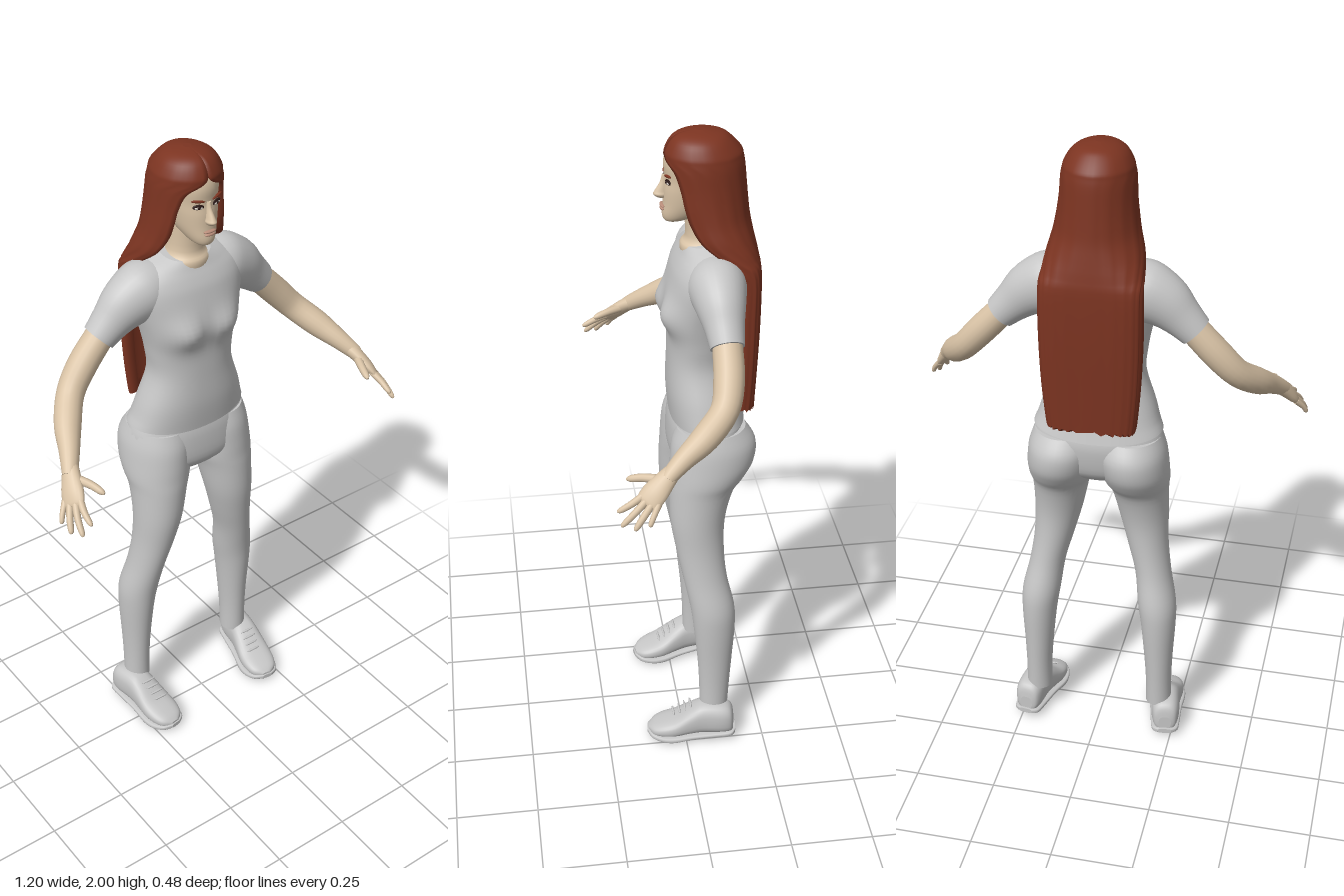
import * as THREE from 'three';

const mat = (name, color) => Object.assign(new THREE.MeshStandardMaterial({ color }), { name });
const V = (x, y, z) => new THREE.Vector3(x, y, z);
const pw = (v, e) => Math.sign(v) * Math.abs(v) ** e;

// Catmull-Rom refinement of a short table of section rows
function smooth(rows, k = 4) {
  const out = [], at = i => rows[Math.max(0, Math.min(rows.length - 1, i))];
  for (let i = 0; i < rows.length - 1; i++)
    for (let j = 0; j < k; j++) {
      const t = j / k, [p, a, b, q] = [at(i - 1), at(i), at(i + 1), at(i + 2)];
      out.push(a.map((_, c) => a[c] + 0.5 * t * (b[c] - p[c] + t * (2 * p[c] - 5 * a[c] + 4 * b[c] - q[c]
        + t * (3 * (a[c] - b[c]) + q[c] - p[c])))));
    }
  return [...out, rows[rows.length - 1]];
}

// Skin over closed rings of equal length, with crisp caps; faces always turn outward
function loft(name, material, rings, capEnd = true) {
  const n = rings[0].length, pts = rings.flat(), idx = [];
  for (let i = 0; i < rings.length - 1; i++)
    for (let j = 0; j < n; j++) {
      const a = i * n + j, b = i * n + (j + 1) % n;
      idx.push(a, b, a + n, b, b + n, a + n);
    }
  const cap = (ring, flip) => {
    const base = pts.length, c = V(0, 0, 0);
    ring.forEach(p => c.addScaledVector(p, 1 / n));
    pts.push(...ring, c);
    for (let j = 0; j < n; j++) {
      const a = base + j, b = base + (j + 1) % n;
      idx.push(...(flip ? [b, a, base + n] : [a, b, base + n]));
    }
  };
  cap(rings[0], true);
  if (capEnd) cap(rings[rings.length - 1], false);
  let vol = 0;
  for (let i = 0; i < idx.length; i += 3) vol += pts[idx[i]].dot(V(0, 0, 0).crossVectors(pts[idx[i + 1]], pts[idx[i + 2]]));
  if (vol < 0) idx.reverse();
  const g = new THREE.BufferGeometry().setFromPoints(pts);
  g.setIndex(idx);
  g.computeVertexNormals();
  const m = new THREE.Mesh(g, material);
  m.name = name;
  return m;
}

// Horizontal rounded section from [y, centreX, halfWidth, zFront, zBack]
function level([y, cx, a, zf, zb], e = 0.88, n = 36) {
  return Array.from({ length: n }, (_, i) => {
    const t = i / n * Math.PI * 2;
    return V(cx + a * pw(Math.sin(t), e), y, (zf + zb) / 2 + (zf - zb) / 2 * pw(Math.cos(t), e));
  });
}
const column = (name, m, rows, e) => loft(name, m, smooth(rows).map(r => level(r, e)));

// Limb along points [x, y, z, radiusAcross, radiusThick]
function limb(name, m, rows, ref = V(0, 0, 1), n = 18) {
  const r = smooth(rows), p = r.map(q => V(q[0], q[1], q[2]));
  return loft(name, m, r.map((q, i) => {
    const t = p[Math.min(i + 1, p.length - 1)].clone().sub(p[Math.max(i - 1, 0)]).normalize();
    const u = t.clone().cross(ref).normalize(), v = t.clone().cross(u);
    return Array.from({ length: n }, (_, j) => {
      const a = j / n * Math.PI * 2;
      return p[i].clone().addScaledVector(u, q[3] * Math.cos(a)).addScaledVector(v, (q[4] ?? q[3]) * Math.sin(a));
    });
  }));
}

function blob(name, m, pos, size, ry = 0, rz = 0) {
  const g = new THREE.SphereGeometry(1, 16, 10).scale(...size).rotateZ(rz).rotateY(ry).translate(...pos);
  const b = new THREE.Mesh(g, m);
  b.name = name;
  return b;
}

// Reflected copy across x = 0
function mirrored(mesh) {
  const g = mesh.geometry.clone().scale(-1, 1, 1);
  g.setIndex([...g.index.array].reverse());
  g.computeVertexNormals();
  const m = new THREE.Mesh(g, mesh.material);
  m.name = mesh.name.replace('left', 'right');
  return m;
}

export function createModel() {
  const model = new THREE.Group();
  model.name = 'woman';
  const cloth = mat('light grey cloth', 0xc6c6c6), skin = mat('skin', 0xd9c3a6), hair = mat('auburn hair', 0x7c3421);
  const dark = mat('dark iris', 0x2a1714), white = mat('eye white', 0xd8d0c8), lip = mat('lips', 0xb98d7a);
  const add = (...ms) => model.add(...ms);
  const pair = (...ms) => ms.forEach(m => model.add(m, mirrored(m)));

  // Shirt body: bust swelling and a neckline that dips at the front
  const torso = smooth([[1.11, 0, .195, .022, -.2], [1.2, 0, .17, .03, -.178], [1.3, 0, .137, .028, -.158],
    [1.38, 0, .142, .027, -.16], [1.45, 0, .155, .03, -.17], [1.52, 0, .172, .03, -.182], [1.58, 0, .185, .018, -.187],
    [1.63, 0, .172, .002, -.182], [1.66, 0, .13, -.012, -.168], [1.68, 0, .078, -.022, -.15]], 5).map(r => level(r, .88, 48));
  torso.flat().forEach(p => {
    const y = p.y;
    if (p.z > -.05) p.z += .03 * Math.exp(-(((Math.abs(p.x) - .07) / .06) ** 2) - ((y - 1.46) / .05) ** 2);
    p.y -= (p.z + .09) * .2 * THREE.MathUtils.smoothstep(y, 1.58, 1.67);
    p.y += .015 * (Math.abs(p.x) / .195) ** 2 * THREE.MathUtils.smoothstep(-y, -1.16, -1.11);
  });
  add(loft('shirt body', cloth, torso));
  pair(limb('left sleeve', cloth, [[.09, 1.595, -.095, .075, .075], [.135, 1.58, -.098, .09, .084], [.195, 1.55, -.1, .08, .072],
    [.245, 1.508, -.103, .061, .057], [.287, 1.468, -.105, .05, .049]], undefined, 28));

  // Trousers
  add(column('hips', cloth, [[1.125, 0, .188, .018, -.195], [1.08, 0, .2, .027, -.2], [1.0, 0, .195, .028, -.185],
    [.96, 0, .12, .005, -.15], [.935, 0, .04, -.03, -.11]]));
  pair(column('left leg', cloth, [[1.11, .1, .093, .012, -.195], [1.06, .105, .104, .028, -.225], [1, .112, .104, .034, -.221],
    [.95, .117, .1, .036, -.193], [.9, .124, .087, .038, -.158], [.8, .135, .075, .036, -.132], [.7, .15, .063, .02, -.128],
    [.6, .17, .056, 0, -.136], [.5, .187, .06, -.02, -.158], [.42, .194, .055, -.03, -.16], [.3, .197, .046, -.042, -.152],
    [.2, .199, .041, -.048, -.145], [.11, .2, .041, -.05, -.14]], 1));

  // Shoes: sections [z, halfWidth, top, bottom] run from heel to toe
  const shoe = (name, rows, e) => {
    const m = loft(name, cloth, smooth(rows).map(([z, w, top, bot]) => Array.from({ length: 28 }, (_, i) => {
      const t = i / 28 * Math.PI * 2;
      return V(w * pw(Math.cos(t), e), (top + bot) / 2 + (top - bot) / 2 * pw(Math.sin(t), e), z);
    })));
    m.geometry.rotateY(-.15).translate(.21, 0, 0);
    return m;
  };
  pair(shoe('left shoe', [[-.158, .02, .08, .03], [-.15, .036, .115, .022], [-.12, .045, .13, .02], [-.06, .046, .132, .02],
    [-.02, .05, .112, .016], [.03, .056, .076, .012], [.07, .053, .06, .012], [.1, .04, .047, .014], [.117, .014, .034, .02]], .75),
  shoe('left sole', [[-.165, .022, .036, .02], [-.15, .042, .036, .018], [-.1, .048, .032, .016], [-.03, .053, .026, .01],
    [.03, .062, .022, 0], [.07, .06, .022, .002], [.105, .044, .026, .007], [.122, .016, .028, .014]], .5));
  for (let i = 0; i < 4; i++) pair(blob('left lace', cloth, [.207 - i * .004, .121 - i * .013, -.018 + i * .018], [.026, .004, .004]));

  // Bare arms and hands
  pair(limb('left arm', skin, [[.25, 1.505, -.105, .042], [.287, 1.468, -.105, .043], [.35, 1.4, -.1, .044], [.405, 1.337, -.08, .041],
    [.455, 1.285, -.02, .04], [.49, 1.247, .04, .031], [.515, 1.218, .08, .025], [.525, 1.205, .095, .022]]));
  const palm = V(.74, .65, .18);
  pair(limb('left palm', skin, [[.507, 1.226, .07, .022, .022], [.523, 1.204, .098, .029, .021], [.54, 1.175, .13, .036, .018],
    [.551, 1.154, .152, .034, .012], [.555, 1.148, .159, .026, .007]], palm));
  const digits = {
    thumb: [[.52, 1.2, .105, .014], [.497, 1.197, .155, .012], [.485, 1.19, .19, .01], [.481, 1.186, .203, .004]],
    index: [[.535, 1.168, .158, .011], [.545, 1.147, .195, .01], [.547, 1.13, .226, .008], [.547, 1.126, .237, .003]],
    middle: [[.546, 1.159, .152, .011], [.563, 1.128, .189, .01], [.57, 1.1, .22, .008], [.571, 1.092, .228, .003]],
    ring: [[.555, 1.153, .138, .011], [.576, 1.12, .168, .01], [.586, 1.094, .188, .008], [.588, 1.087, .193, .003]],
    little: [[.562, 1.15, .124, .01], [.583, 1.124, .141, .008], [.592, 1.106, .15, .007], [.594, 1.1, .153, .003]],
  };
  for (const [n, rows] of Object.entries(digits)) pair(limb('left ' + n + ' finger', skin, rows, palm, 10));

  // Neck and head
  add(column('neck', skin, [[1.62, 0, .075, -.015, -.155], [1.66, 0, .072, -.01, -.15], [1.69, 0, .054, -.026, -.14], [1.78, 0, .05, -.02, -.14]], 1));
  add(column('head', skin, [[1.733, 0, .012, .024, .002], [1.74, 0, .028, .036, -.03], [1.758, 0, .043, .041, -.08],
    [1.79, 0, .058, .038, -.125], [1.83, 0, .067, .037, -.15], [1.865, 0, .072, .033, -.165], [1.91, 0, .074, .036, -.165],
    [1.95, 0, .065, .02, -.15], [1.98, 0, .03, -.03, -.1]], .95));
  add(column('nose', skin, [[1.872, 0, .006, .04, .02], [1.85, 0, .008, .046, .02], [1.825, 0, .012, .061, .02],
    [1.815, 0, .015, .065, .02], [1.806, 0, .011, .055, .02]], 1));
  add(blob('upper lip', lip, [0, 1.782, .039], [.021, .0045, .008]), blob('lower lip', lip, [0, 1.773, .039], [.018, .005, .008]));
  pair(blob('left eye rim', dark, [.031, 1.86, .027], [.017, .008, .004], .3, .08),
    blob('left eye white', white, [.031, 1.858, .029], [.013, .0045, .004], .3, .08),
    blob('left iris', dark, [.031, 1.859, .0312], [.005, .005, .003], .3),
    blob('left eyebrow', hair, [.032, 1.878, .028], [.021, .004, .005], .3, .16));

  // Hair: C-shaped sections [y, halfWidth, zCentre, depth, frontGap, innerScale, squareness]
  const locks = smooth([[2, .012, -.068, .014, 0, .86, 1], [1.992, .05, -.07, .06, 0, .86, 1], [1.975, .078, -.07, .086, 0, .86, 1],
    [1.945, .097, -.075, .108, 1, .87, 1], [1.927, .102, -.077, .112, 8, .88, 1], [1.9, .106, -.08, .114, 34, .88, 1],
    [1.85, .11, -.085, .114, 44, .86, 1], [1.8, .116, -.09, .114, 48, .85, 1], [1.75, .125, -.1, .11, 50, .84, 1],
    [1.7, .138, -.12, .1, 56, .84, .9], [1.65, .146, -.155, .075, 72, .83, .75], [1.6, .15, -.182, .054, 88, .8, .6],
    [1.45, .15, -.184, .052, 88, .8, .6], [1.3, .144, -.184, .047, 88, .8, .6], [1.165, .132, -.18, .046, 88, .8, .6]]);
  const last = locks[locks.length - 1];
  const M = 40;
  const hairRings = [...locks, [...last.slice(0, 5), 1, last[6]]].map(([y, a, zc, d, gap, inner, e], row) =>
    Array.from({ length: 2 * M }, (_, i) => {
      const isOuter = i < M, k = isOuter ? i : 2 * M - 1 - i, g = Math.max(gap, 0) * Math.PI / 180;
      const t = g + (2 * Math.PI - 2 * g) * k / (M - 1);
      const strand = 1 + .012 * Math.cos(k * 1.9) * Math.min(1, row / 30), s = isOuter ? strand : inner === 1 ? strand : inner;
      const ragged = row >= locks.length - 1 ? .006 * Math.sin(k * 2.3) : 0;
      return V(a * s * pw(Math.sin(t), e), y + ragged, zc + d * s * pw(Math.cos(t), e));
    }));
  add(loft('long hair', hair, hairRings, false));
  return model;
}
